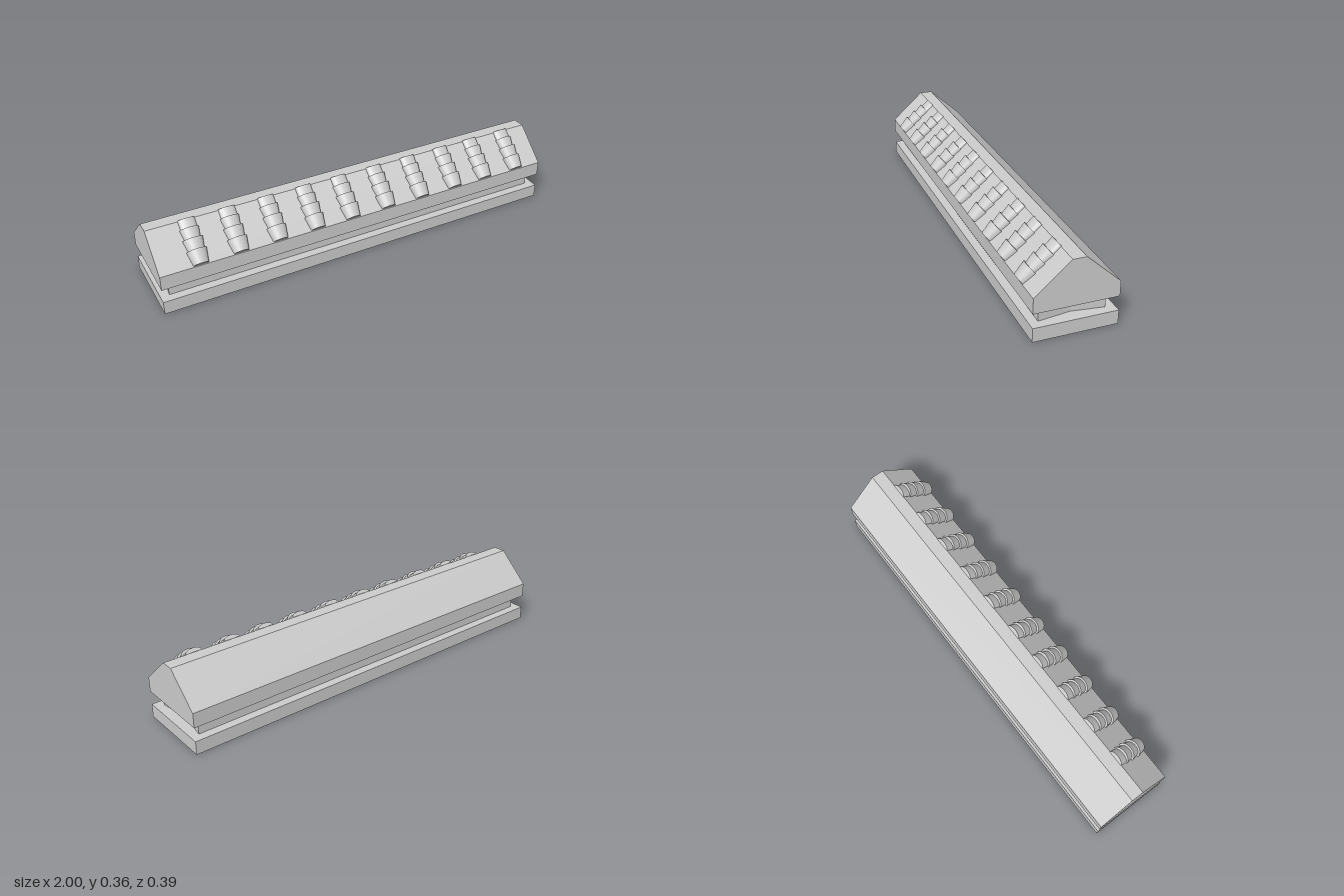
import * as THREE from 'three';

const material = new THREE.MeshStandardMaterial({ color: 0xcccccc });
const FRONT = 0.179, BACK = -0.196;      // z limits of the body
const EAVE = 0.2, RIDGE = 0.341;         // heights of the sloped roof
const RIDGE_FRONT = 0.02, RIDGE_BACK = -0.041;

function addMesh(parent, geometry, name) {
  const mesh = new THREE.Mesh(geometry, material);
  mesh.name = name;
  parent.add(mesh);
  return mesh;
}

function extrude(points, depth) {
  const shape = new THREE.Shape(points.map(([x, y]) => new THREE.Vector2(x, y)));
  return new THREE.ExtrudeGeometry(shape, { depth, bevelEnabled: false });
}

// One ribbed stack: flared half-round segments, shrinking towards the ridge.
// Each row: start, end, lower half-width, upper half-width, upper height.
const SEGMENTS = [
  [0.004, 0.069, 0.035, 0.046, 0.0395],
  [0.069, 0.121, 0.037, 0.046, 0.036],
  [0.121, 0.170, 0.036, 0.044, 0.0314],
  [0.170, 0.215, 0.038, 0.039, 0.019],
];

function createStack() {
  const stack = new THREE.Group();
  SEGMENTS.forEach(([start, end, low, high, height], i) => {
    const g = new THREE.CylinderGeometry(high, low, end - start, 14, 1, false, -Math.PI / 2, Math.PI);
    g.scale(1, 1, height / high);
    g.translate(0, (start + end) / 2, 0);
    addMesh(stack, g, `stackSegment${i + 1}`);
  });
  return stack;
}

export function createModel() {
  const model = new THREE.Group();
  model.name = 'ridgedBar';

  // Base slab
  const base = addMesh(model, new THREE.BoxGeometry(2, 0.064, FRONT - BACK), 'baseSlab');
  base.position.set(0, 0.032, (FRONT + BACK) / 2);

  // Recessed neck with shallow notched ends
  const neck = addMesh(model, extrude([
    [-0.96, -0.139], [0.96, -0.139], [0.94, 0.009],
    [0.96, 0.155], [-0.96, 0.155], [-0.94, 0.009],
  ], 0.066).rotateX(-Math.PI / 2), 'neck');
  neck.position.y = 0.064;

  // Upper body with sloped sides and a flat ridge
  const body = addMesh(model, extrude([
    [-FRONT, 0.13], [-BACK, 0.13], [-BACK, EAVE],
    [-RIDGE_BACK, RIDGE], [-RIDGE_FRONT, RIDGE], [-FRONT, EAVE],
  ], 2).rotateY(Math.PI / 2), 'upperBody');
  body.position.x = -1;

  // Row of ribbed stacks lying on the front slope
  const tilt = -Math.atan2(FRONT - RIDGE_FRONT, RIDGE - EAVE);
  const row = [-0.813, -0.626, -0.438, -0.251, -0.07, 0.118, 0.305, 0.492, 0.668, 0.856];
  row.forEach((x, i) => {
    const stack = createStack();
    stack.name = `ribbedStack${i + 1}`;
    stack.position.set(x, EAVE, FRONT);
    stack.rotation.x = tilt;
    model.add(stack);
  });

  return model;
}
